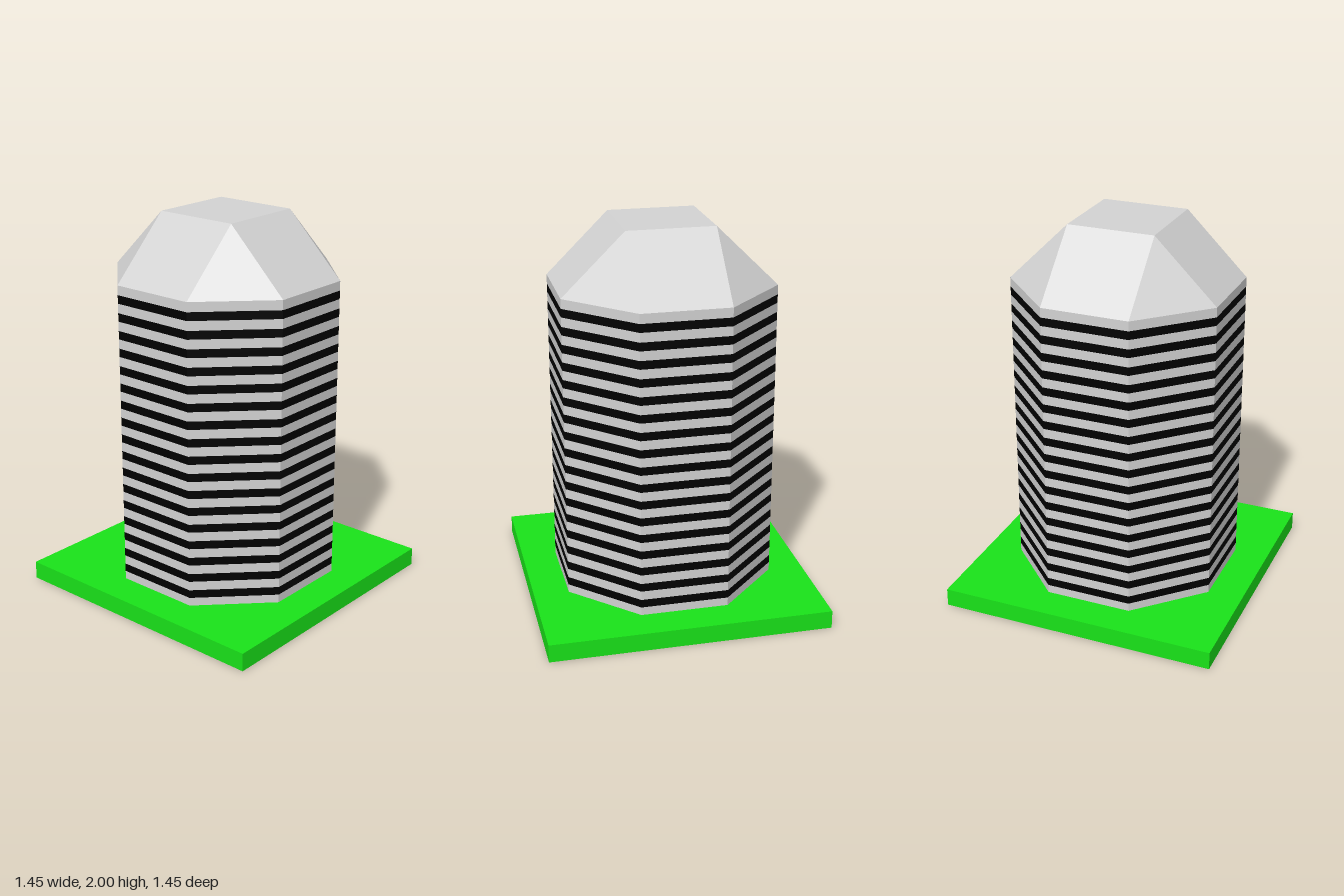
import * as THREE from 'three';
import { ConvexGeometry } from 'three/addons/geometries/ConvexGeometry.js';

const material = (name, color) => {
  const m = new THREE.MeshStandardMaterial({ color, flatShading: true });
  m.name = name;
  return m;
};

export function createModel() {
  const concrete = material('lightGrey', 0xd3d3d3);
  const glass = material('black', 0x000000);
  const grass = material('green', 0x19e319);
  const soil = material('slate', 0x5a5f70);

  const baseTop = 0.095, wallTop = 1.685, roofTop = 2;
  const half = 0.545;                            // centre to a flat side
  const side = half * Math.tan(Math.PI / 8);     // half of one octagon side
  const radius = half / Math.cos(Math.PI / 8);

  const model = new THREE.Group();
  model.name = 'tower';
  const add = (parent, name, geometry, mat, y = 0) => {
    const mesh = new THREE.Mesh(geometry, mat);
    mesh.name = name;
    mesh.position.y = y;
    parent.add(mesh);
  };

  // Square lawn slab with a slate underside (box face order: +x -x +y -y +z -z)
  add(model, 'lawn', new THREE.BoxGeometry(1.454, baseTop, 1.454),
    [grass, grass, grass, soil, grass, grass], baseTop / 2);

  // Octagonal walls: flush bands of wall and window, alternating upward
  const walls = new THREE.Group();
  walls.name = 'walls';
  model.add(walls);
  const band = (name, mat, y0, y1) => add(walls, name,
    new THREE.CylinderGeometry(radius, radius, y1 - y0, 8, 1, true, Math.PI / 8),
    mat, (y0 + y1) / 2);

  const floors = 17, pitch = 0.0909, windowHeight = 0.043;
  let y = baseTop;
  for (let i = 0; i < floors; i++) {
    const sill = 0.1385 + i * pitch;
    band('wallBand', concrete, y, sill);
    y = sill + windowHeight;
    band('windowBand', glass, sill, y);
  }
  band('wallBand', concrete, y, wallTop);

  // Faceted roof: octagon below, flat square above
  const points = [];
  for (const sx of [-1, 1]) for (const sz of [-1, 1]) {
    points.push(
      new THREE.Vector3(sx * half, wallTop, sz * side),
      new THREE.Vector3(sx * side, wallTop, sz * half),
      new THREE.Vector3(sx * side, roofTop, sz * side));
  }
  add(model, 'roof', new ConvexGeometry(points), concrete);

  return model;
}
